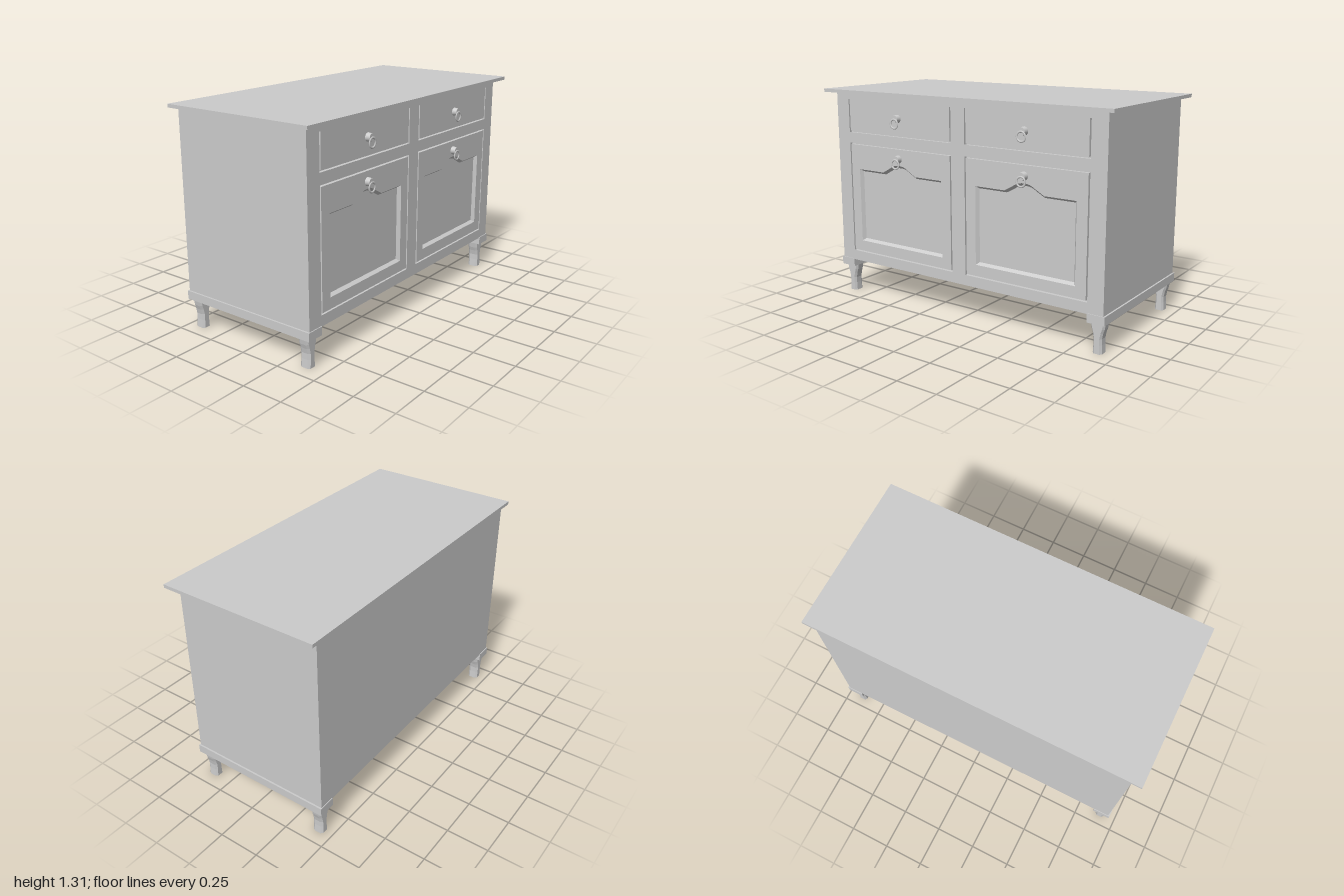
import * as THREE from 'three';

const grey = new THREE.MeshStandardMaterial({ color: 0xcccccc, flatShading: true });
const smooth = new THREE.MeshStandardMaterial({ color: 0xcccccc });
const FRONT = 0.43, RECESS = 0.41, DEPTH = FRONT - RECESS;

function add(parent, name, geometry, x = 0, y = 0, z = 0, material = grey) {
  const mesh = new THREE.Mesh(geometry, material);
  mesh.name = name;
  mesh.position.set(x, y, z);
  parent.add(mesh);
  return mesh;
}

// Box given by its limits on each axis
function box(parent, name, [x0, x1], [y0, y1], [z0, z1]) {
  return add(parent, name, new THREE.BoxGeometry(x1 - x0, y1 - y0, z1 - z0),
    (x0 + x1) / 2, (y0 + y1) / 2, (z0 + z1) / 2);
}

const points = (list) => list.map(([a, b]) => new THREE.Vector2(a, b));
const rect = (a0, a1, b0, b1) => points([[a0, b0], [a1, b0], [a1, b1], [a0, b1]]);

// Flat plate with holes, facing local +z
function plate(outline, holes) {
  const shape = new THREE.Shape(outline);
  holes.forEach((h) => shape.holes.push(new THREE.Path(h)));
  return new THREE.ExtrudeGeometry(shape, { depth: DEPTH, bevelEnabled: false });
}

// Arched panel outline around a door centre c
function panelOutline(c) {
  const arch = new THREE.SplineCurve(points([
    [0.07, 0.85], [0.04, 0.866], [0, 0.872], [-0.04, 0.866], [-0.07, 0.85]])).getPoints(12);
  return [...points([[-0.325, 0.358], [0.325, 0.358], [0.325, 0.818], [0.128, 0.818]]),
    ...arch, ...points([[-0.128, 0.818], [-0.325, 0.818]])]
    .map((p) => new THREE.Vector2(p.x + c, p.y));
}

// Sloped moulding running from the panel outline down to the recessed panel
function moulding(outline, c) {
  const inner = outline.map((p) =>
    new THREE.Vector2(c + (p.x - c) * 0.955, 0.59 + (p.y - 0.59) * 0.94));
  const pos = [];
  outline.forEach((a, i) => {
    const j = (i + 1) % outline.length, b = outline[j], p = inner[i], q = inner[j];
    pos.push(a.x, a.y, DEPTH, b.x, b.y, DEPTH, q.x, q.y, 0.0005,
      a.x, a.y, DEPTH, q.x, q.y, 0.0005, p.x, p.y, 0.0005);
  });
  const g = new THREE.BufferGeometry();
  g.setAttribute('position', new THREE.Float32BufferAttribute(pos, 3));
  g.computeVertexNormals();
  return g;
}

// Round knob with a hanging ring pull
function pull(y) {
  const group = new THREE.Group();
  group.name = 'ringPull';
  const knob = add(group, 'knob', new THREE.CylinderGeometry(0.022, 0.025, 0.028, 24),
    0, y, DEPTH + 0.014, smooth);
  knob.rotation.x = Math.PI / 2;
  const ring = add(group, 'ring', new THREE.TorusGeometry(0.027, 0.006, 8, 28),
    0, y - 0.027, DEPTH + 0.031, smooth);
  ring.scale.z = 0.65;
  return group;
}

// Tapered leg: side profile extruded through its thickness with chamfered edges
function legGeometry() {
  const bevel = 0.013;
  const half = [[0.028, 0], [0.025, 0.05], [0.025, 0.085], [0.031, 0.115], [0.039, 0.14], [0.045, 0.175]];
  const outline = [...half, ...half.slice().reverse().map(([w, y]) => [-w, y])];
  const g = new THREE.ExtrudeGeometry(new THREE.Shape(points(outline)), {
    depth: 0.065 - 2 * bevel, bevelThickness: bevel, bevelSize: 0.01, bevelOffset: -0.01, bevelSegments: 1 });
  g.translate(0, 0, -(0.065 - 2 * bevel) / 2);
  // The chamfer leaves the foot and the top flat
  const p = g.attributes.position;
  for (let i = 0; i < p.count; i++) {
    if (p.getY(i) < 0.02) p.setY(i, 0);
    if (p.getY(i) > 0.155) p.setY(i, 0.175);
  }
  g.computeVertexNormals();
  return g.rotateY(Math.PI / 2);
}

export function createModel() {
  const model = new THREE.Group();
  model.name = 'sideboard';

  box(model, 'top', [-0.485, 0.485], [1.29, 1.31], [-1, 1]);
  box(model, 'carcass', [-0.465, RECESS], [0.22, 1.29], [-0.945, 0.945]);

  // Plinth rails and legs at both ends
  const leg = legGeometry();
  for (const s of [-1, 1]) {
    box(model, 'plinth', [-0.47, 0.435], [0.175, 0.225], s < 0 ? [-0.955, -0.85] : [0.85, 0.955]);
    for (const x of [-0.417, 0.377]) add(model, 'leg', leg, x, 0, s * 0.899);
  }

  // Facade, built facing local +z and turned to face +x
  const facade = new THREE.Group();
  facade.name = 'facade';
  facade.position.x = RECESS;
  facade.rotation.y = Math.PI / 2;
  model.add(facade);

  const gap = 0.009, holes = [];
  for (const c of [-0.448, 0.448]) {
    const l = c - 0.4, r = c + 0.4;
    // Drawer groove, open at the top
    holes.push(points([[l, 1.045], [r, 1.045], [r, 1.25], [r - gap, 1.25],
      [r - gap, 1.045 + gap], [l + gap, 1.045 + gap], [l + gap, 1.25], [l, 1.25]]));
    holes.push(rect(l, r, 0.283, 0.98));
    // Door with arched recessed panel
    const outline = panelOutline(c);
    add(facade, 'door', plate(rect(l + gap, r - gap, 0.283 + gap, 0.98 - gap), [outline]));
    add(facade, 'panelMoulding', moulding(outline, c));
    for (const y of [1.154, 0.912]) {
      const p = pull(y);
      p.position.x = c;
      facade.add(p);
    }
  }
  add(facade, 'faceFrame', plate(rect(-0.945, 0.945, 0.22, 1.29), holes));
  return model;
}
